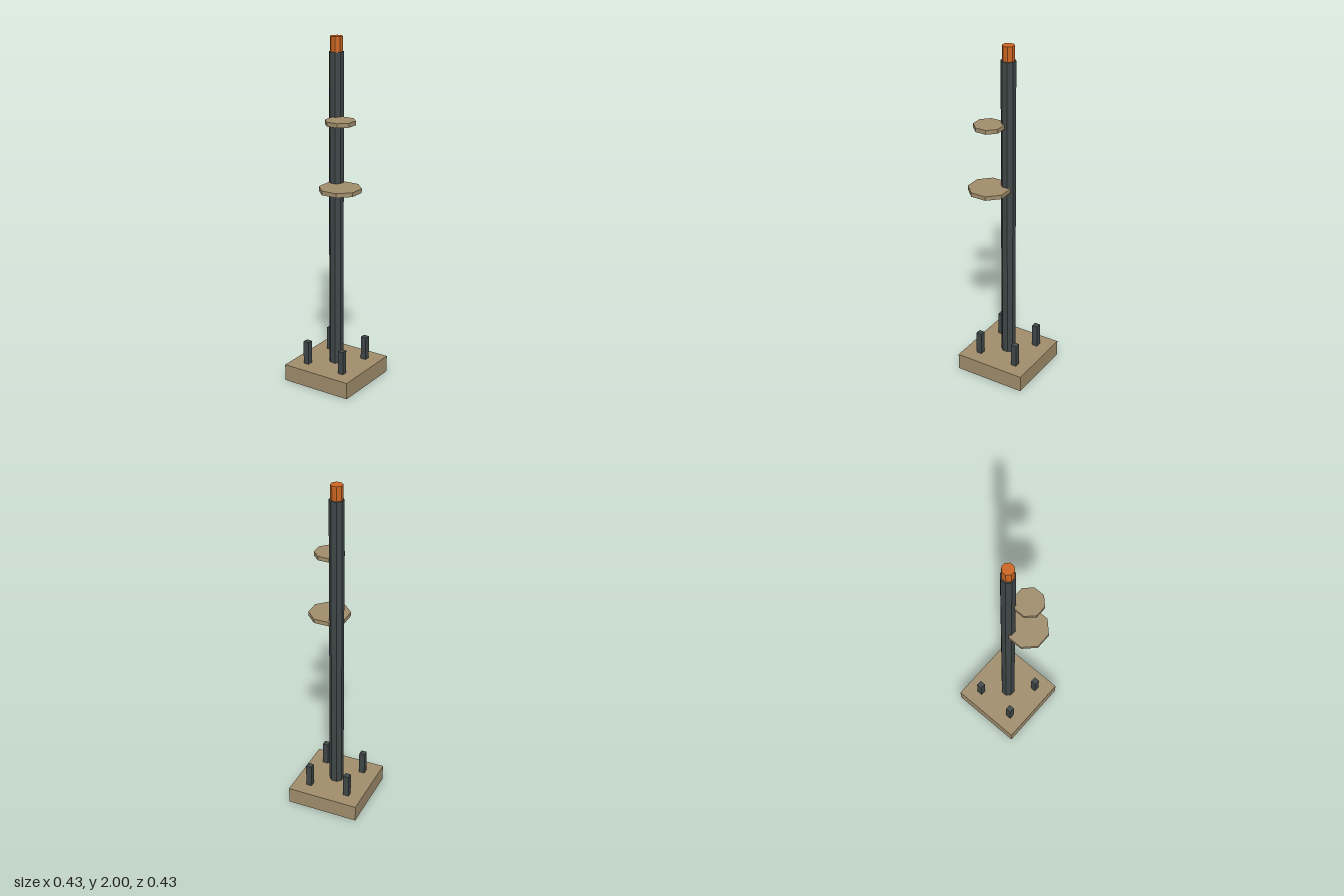
import * as THREE from 'three';

const material = (name, color) => {
  const m = new THREE.MeshStandardMaterial({ color, flatShading: true });
  m.name = name;
  return m;
};

export function createModel() {
  const concrete = material('sandy concrete', 0xa08d6c);
  const steel = material('dark steel', 0x404748);
  const orange = material('orange', 0xcc6622);
  const model = new THREE.Group();
  model.name = 'antennaMast';

  const add = (name, geometry, mat, x, y, z) => {
    const mesh = new THREE.Mesh(geometry, mat);
    mesh.name = name;
    mesh.position.set(x, y, z);
    model.add(mesh);
  };

  // Eight-sided prism with flats facing the axes, from height y0 to y1
  const octagon = (name, apothem, y0, y1, mat, x = 0, z = 0) => {
    const r = apothem / Math.cos(Math.PI / 8);
    const geometry = new THREE.CylinderGeometry(r, r, y1 - y0, 8, 1, false, Math.PI / 8);
    add(name, geometry, mat, x, (y0 + y1) / 2, z);
  };

  // Square footing
  add('base', new THREE.BoxGeometry(0.429, 0.098, 0.429), concrete, 0, 0.049, 0);

  // Mast and its coloured tip
  octagon('mast', 0.0385, 0.098, 1.917, steel);
  octagon('mastTip', 0.032, 1.917, 2, orange);

  // Plates carried on the front left of the mast
  octagon('lowerPlate', 0.1105, 1.165, 1.189, concrete, 0.077, 0.077);
  octagon('upperPlate', 0.0785, 1.541, 1.565, concrete, 0.077, 0.077);

  // Four corner posts
  for (const x of [-0.12, 0.12]) {
    for (const z of [-0.12, 0.12]) {
      add('cornerPost', new THREE.BoxGeometry(0.034, 0.138, 0.034), steel, x, 0.167, z);
    }
  }
  return model;
}
